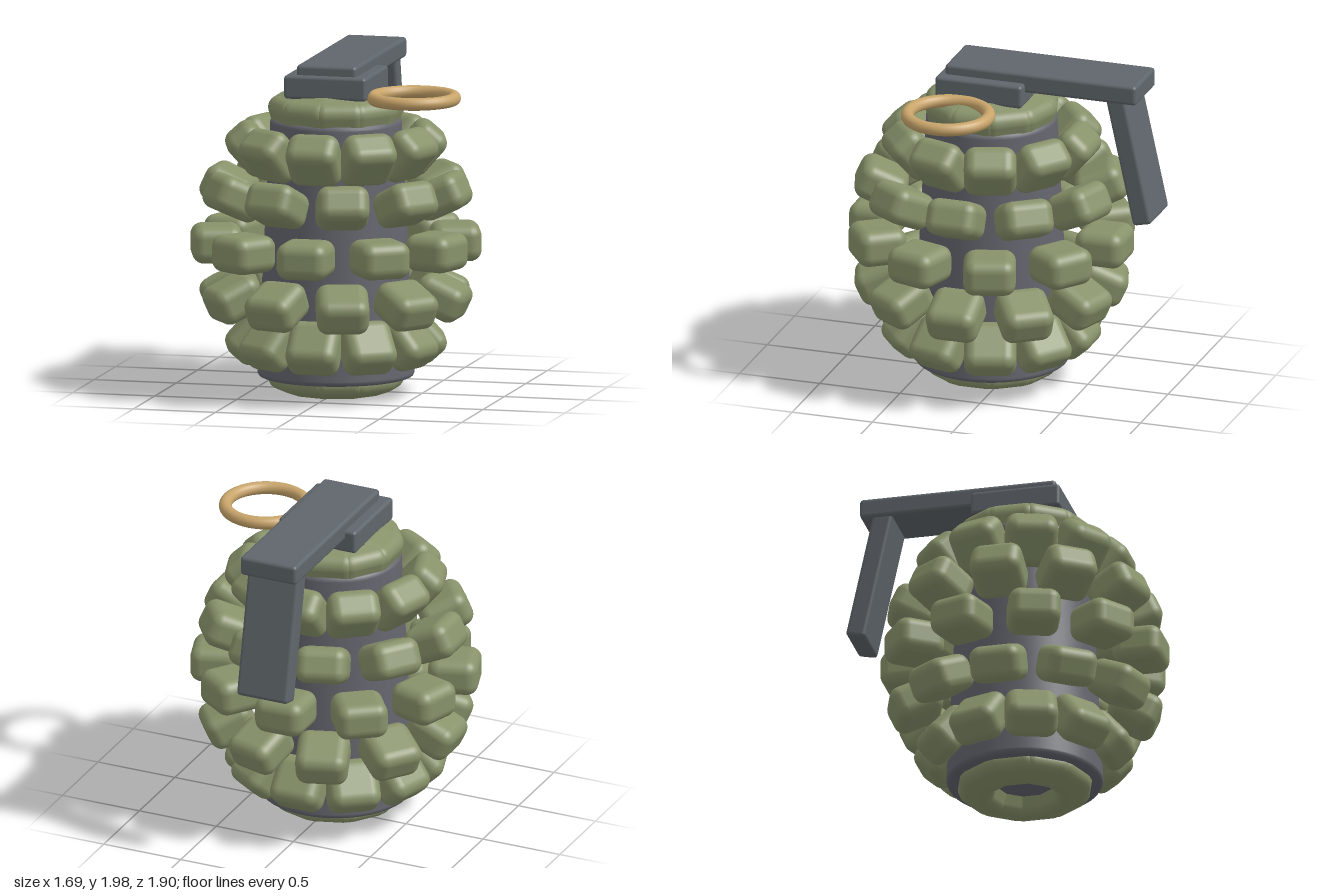
import * as THREE from 'three';
import { RoundedBoxGeometry } from 'three/addons/geometries/RoundedBoxGeometry.js';

const material = (name, color) => {
  const m = new THREE.MeshStandardMaterial({ color });
  m.name = name;
  return m;
};

export function createModel() {
  const olive = material('olive', 0x87926a);
  const coreGrey = material('coreGrey', 0x64666e);
  const steel = material('steel', 0x5f666b);
  const brass = material('brass', 0xc8a46a);

  const model = new THREE.Group();
  model.name = 'grenade';
  const axisZ = 0.1;   // z of the body's vertical axis
  const midY = 0.917;  // height of the body's widest row

  const add = (name, geometry, mat, x, y, z, parent = model) => {
    const mesh = new THREE.Mesh(geometry, mat);
    mesh.name = name;
    mesh.position.set(x, y, z);
    parent.add(mesh);
    return mesh;
  };

  // Tapered inner core with softened rims
  const corePoints = [
    [0, 0.12], [0.43, 0.12], [0.44, 0.12], [0.455, 0.126], [0.463, 0.14], [0.463, 0.15],
    [0.388, 1.63], [0.388, 1.64], [0.38, 1.654], [0.365, 1.66], [0.355, 1.66], [0, 1.66],
  ].map(([r, y]) => new THREE.Vector2(r, y));
  add('core', new THREE.LatheGeometry(corePoints, 48), coreGrey, 0, 0, axisZ);

  // Staggered rows of rounded blocks: [latitude in degrees, outer radius, half-step offset]
  const depth = 0.3;
  const blockGeometry = new RoundedBoxGeometry(0.31, 0.22, depth, 4, 0.07);
  const count = 10;
  const rows = [[0, 0.855, 0], [25, 0.865, 0.5], [48.5, 0.9, 0], [71, 0.935, 0.5]];
  const shell = new THREE.Group();
  shell.name = 'shell';
  shell.position.set(0, midY, axisZ);
  model.add(shell);
  for (const [latitude, outer, offset] of rows) {
    for (const side of latitude ? [1, -1] : [1]) {
      const lat = THREE.MathUtils.degToRad(latitude * side);
      const r = outer - depth / 2;
      for (let i = 0; i < count; i++) {
        const turn = ((i + offset) / count) * Math.PI * 2;
        const block = add('shellBlock', blockGeometry, olive,
          r * Math.cos(lat) * Math.sin(turn), r * Math.sin(lat), r * Math.cos(lat) * Math.cos(turn), shell);
        block.rotation.set(-lat, turn, 0, 'YXZ');
      }
    }
  }

  // Fuse housing and safety lever
  add('fuseHousing', new RoundedBoxGeometry(0.5, 0.14, 0.54, 3, 0.02), steel, 0, 1.87, 0.1);
  add('leverTop', new RoundedBoxGeometry(0.365, 0.12, 1.19, 3, 0.022), steel, 0, 1.94, -0.265);
  const drop = add('leverHandle', new RoundedBoxGeometry(0.33, 0.84, 0.12, 3, 0.022), steel, 0, 1.537, -0.803);
  drop.rotation.x = 0.216;

  // Pull ring lying flat beside the housing
  const ring = add('pullRing', new THREE.TorusGeometry(0.241, 0.038, 16, 48), brass, 0.5, 1.81, 0.2);
  ring.rotation.x = Math.PI / 2;

  return model;
}
